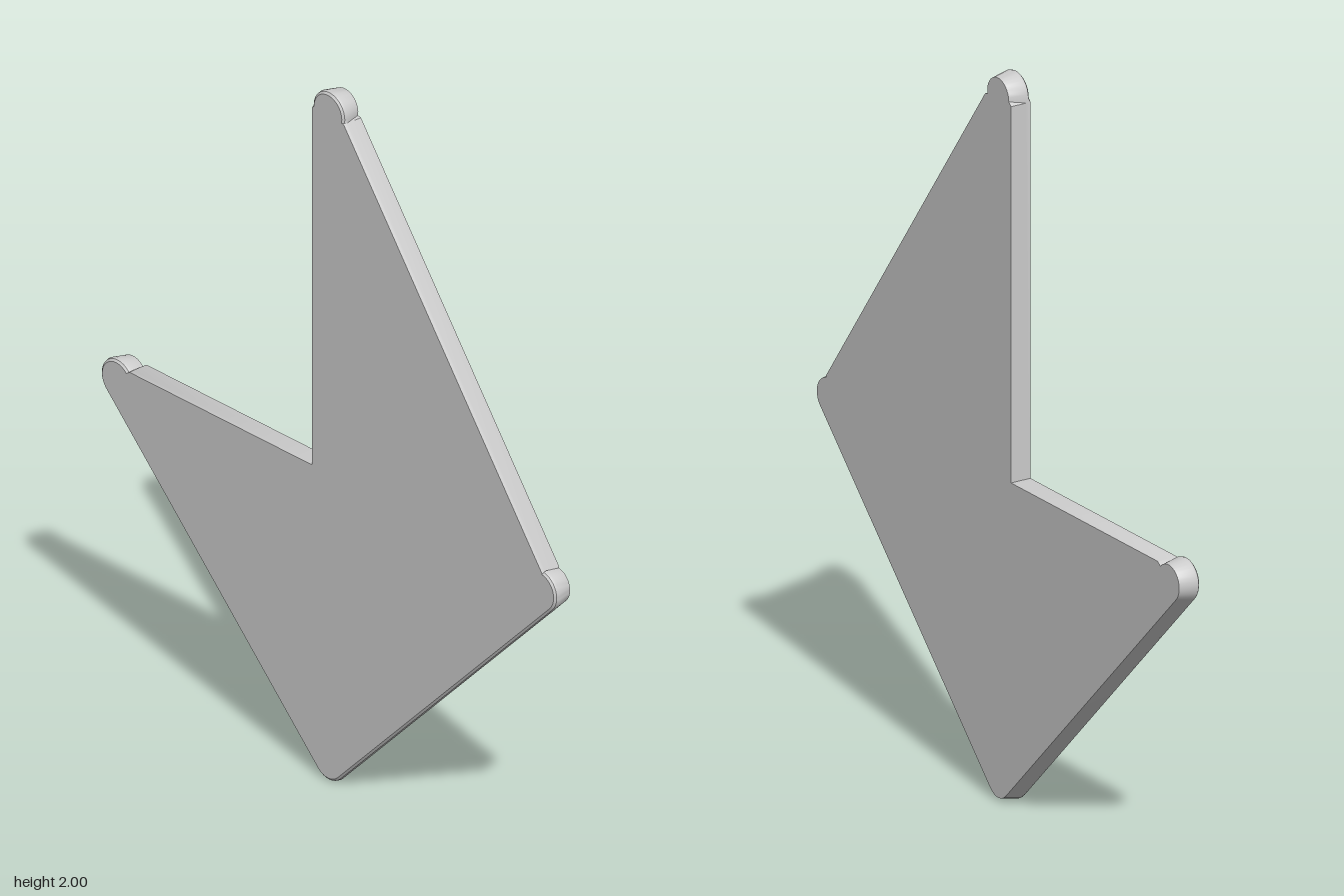
import * as THREE from 'three';
import { toCreasedNormals } from 'three/addons/utils/BufferGeometryUtils.js';

const rad = THREE.MathUtils.degToRad;

// Plate outline, counter-clockwise; r is the radius of the rounded tips
function outline(r) {
  const pts = [];
  const arc = (cx, cy, from, to, n = 16) => {
    for (let i = 0; i <= n; i++) {
      const a = rad(from + (to - from) * i / n);
      pts.push(new THREE.Vector2(cx + r * Math.cos(a), cy + r * Math.sin(a)));
    }
  };
  const corner = (x, y) => pts.push(new THREE.Vector2(x, y));
  arc(0, 1.94, -10, 180);      // top tip
  corner(-0.06, 1.93);
  corner(-0.06, 0.895);        // inner corner of the notch
  corner(-0.74, 0.9);
  arc(-0.79, 0.857, 42, 225);  // right tip
  arc(0, 0.06, 225, 315, 8);   // bottom tip
  arc(0.79, 0.857, -45, 80);   // left tip
  corner(0.798, 0.912);
  corner(0.06, 1.928);
  return pts;
}

// Stacked outlines joined by side walls and closed by flat faces
function plateGeometry(layers) {
  const loops = layers.map(([r]) => outline(r));
  const n = loops[0].length;
  const pos = [], index = [];
  loops.forEach((loop, k) => loop.forEach(p => pos.push(p.x, p.y, layers[k][1])));
  for (let k = 0; k < loops.length - 1; k++) {
    for (let i = 0; i < n; i++) {
      const a = k * n + i, b = k * n + (i + 1) % n;
      index.push(a, b, b + n, a, b + n, a + n);
    }
  }
  const last = (loops.length - 1) * n;
  for (const [a, b, c] of THREE.ShapeUtils.triangulateShape(loops[0], [])) index.push(a, c, b);
  for (const [a, b, c] of THREE.ShapeUtils.triangulateShape(loops[loops.length - 1], [])) {
    index.push(last + a, last + b, last + c);
  }
  const geo = new THREE.BufferGeometry();
  geo.setAttribute('position', new THREE.Float32BufferAttribute(pos, 3));
  geo.setIndex(index);
  return toCreasedNormals(geo, rad(35));
}

export function createModel() {
  const group = new THREE.Group();
  group.name = 'notchedPlate';
  // [tip radius, z] from the narrower back to the softened front edge
  const layers = [[0.05, -0.03], [0.06, 0.017], [0.058, 0.025], [0.052, 0.03]];
  const plate = new THREE.Mesh(
    plateGeometry(layers),
    new THREE.MeshStandardMaterial({ color: 0xcccccc })
  );
  plate.name = 'plate';
  group.add(plate);
  return group;
}
